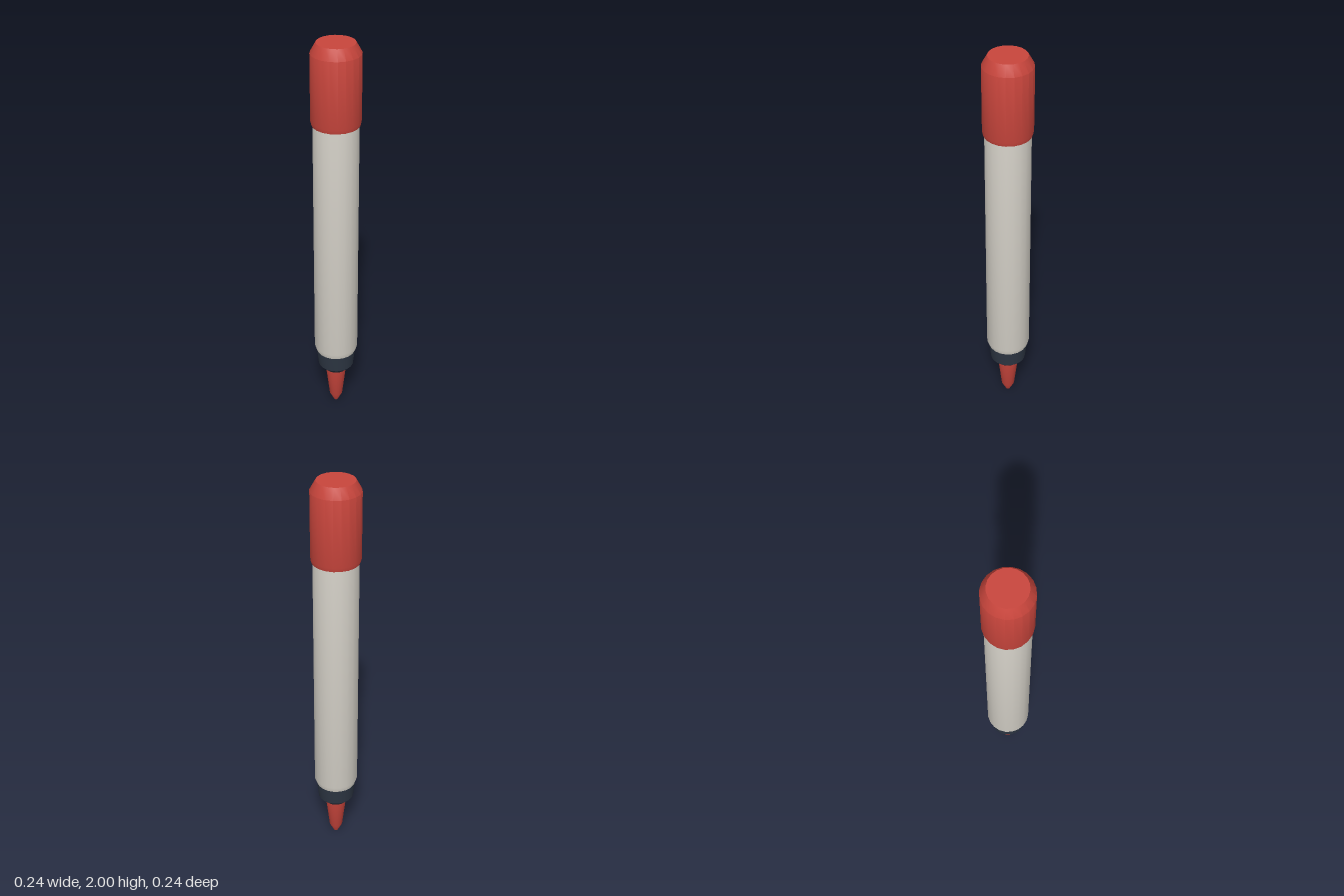
import * as THREE from 'three';
import { toCreasedNormals } from 'three/addons/utils/BufferGeometryUtils.js';

const SIDES = 20;

function material(name, color) {
  const m = new THREE.MeshStandardMaterial({ color });
  m.name = name;
  return m;
}

// Turned part from [radius, height] pairs, bottom to top, closed at both ends
function turned(name, profile, mat) {
  const points = profile.map(([r, y]) => new THREE.Vector2(r, y));
  const geometry = new THREE.LatheGeometry(points, SIDES);
  const mesh = new THREE.Mesh(toCreasedNormals(geometry, THREE.MathUtils.degToRad(32)), mat);
  mesh.name = name;
  return mesh;
}

export function createModel() {
  const red = material('red', 0xc8453c);
  const grey = material('warm light grey', 0xd8d4cb);
  const navy = material('dark navy', 0x2d3643);

  const marker = new THREE.Group();
  marker.name = 'marker';
  marker.add(
    // Writing tip with a blunted point
    turned('tip', [[0, 0], [0.01, 0], [0.033, 0.045], [0.053, 0.215], [0, 0.215]], red),
    // Tapered collar that holds the tip
    turned('collar', [[0, 0.21], [0.055, 0.21], [0.09, 0.245], [0.1, 0.335], [0, 0.335]], navy),
    // Long barrel with a small shoulder at the bottom
    turned('barrel', [[0, 0.33], [0.1, 0.33], [0.11, 0.36], [0.11, 1.61], [0, 1.61]], grey),
    // End cap with a chamfered top
    turned('endCap', [[0, 1.6], [0.115, 1.6], [0.12, 1.62], [0.12, 1.95], [0.092, 2], [0, 2]], red)
  );
  return marker;
}
